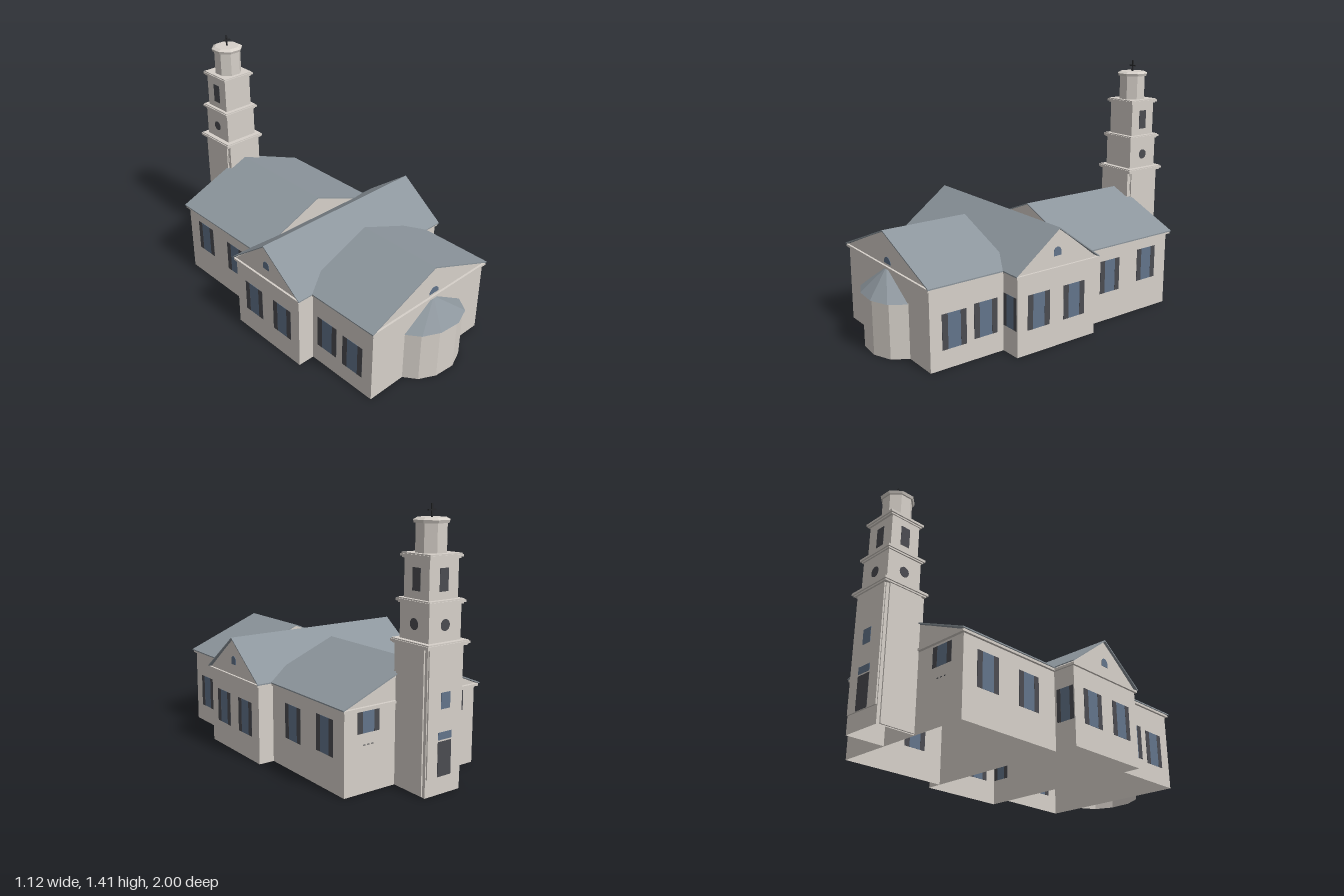
import * as THREE from 'three';
import { ConvexGeometry } from 'three/addons/geometries/ConvexGeometry.js';

const mat = (name, color) => Object.assign(new THREE.MeshStandardMaterial({ color, flatShading: true }), { name });

export function createModel() {
  const wall = mat('stone wall', 0xd6d0c9);
  wall.side = THREE.DoubleSide; // walls are hollow and open below
  const slate = mat('slate roof', 0x8d969d);
  const glass = mat('window glass', 0x62748a);
  const dark = mat('dark shutter', 0x4b4c51);
  const iron = mat('black iron', 0x26272a);

  const model = new THREE.Group();
  model.name = 'church';

  const add = (parent, name, geo, material, x = 0, y = 0, z = 0) => {
    const m = new THREE.Mesh(geo, material);
    m.name = name;
    m.position.set(x, y, z);
    parent.add(m);
    return m;
  };
  // Box given by its limits
  const block = (parent, name, material, x0, x1, y0, y1, z0, z1) =>
    add(parent, name, new THREE.BoxGeometry(x1 - x0, y1 - y0, z1 - z0), material,
      (x0 + x1) / 2, (y0 + y1) / 2, (z0 + z1) / 2);
  const group = (name, parent = model) => {
    const g = new THREE.Group();
    g.name = name;
    parent.add(g);
    return g;
  };
  const extrude = (pts, depth) => new THREE.ExtrudeGeometry(
    new THREE.Shape(pts.map(p => new THREE.Vector2(...p))), { depth, bevelEnabled: false });

  // Upright walls over a closed plan of [x, z] corners, without floor or ceiling
  function hollowWalls(plan, height) {
    const pos = [];
    plan.forEach(([ax, az], i) => {
      const [bx, bz] = plan[(i + 1) % plan.length];
      pos.push(ax, 0, az, bx, 0, bz, bx, height, bz, ax, 0, az, bx, height, bz, ax, height, az);
    });
    const geo = new THREE.BufferGeometry();
    geo.setAttribute('position', new THREE.Float32BufferAttribute(pos, 3));
    geo.computeVertexNormals();
    return geo;
  }
  const rectangle = (x0, x1, z0, z1) => [[x0, z1], [x1, z1], [x1, z0], [x0, z0]];

  // Gabled wing along its own z axis: walls w0..w1, gables g0..g1, roof r0..r1
  const EAVE = 0.445;
  function wing(name, { hw, roofHw, ridge, w0, w1, g0, g1, r0, r1 }) {
    const g = group(name);
    add(g, 'walls', hollowWalls(rectangle(-hw, hw, w0, w1), 0.435), wall);
    block(g, 'cornice', wall, -roofHw + 0.006, roofHw - 0.006, 0.432, EAVE, r0 + 0.003, r1 - 0.003);
    add(g, 'gable', extrude([[-roofHw + 0.01, EAVE], [roofHw - 0.01, EAVE], [0, ridge - 0.004]], g1 - g0),
      wall, 0, 0, g0);
    const t = 0.007;
    add(g, 'roof', extrude([[-roofHw, EAVE], [-roofHw, EAVE + t], [0, ridge], [roofHw, EAVE + t],
      [roofHw, EAVE], [0, ridge - t]], r1 - r0), slate, 0, 0, r0);
    return g;
  }
  wing('frontNave', {
    hw: 0.435, roofHw: 0.455, ridge: 0.637, w0: 0.417, w1: 0.86, g0: 0.368, g1: 0.86, r0: 0.365, r1: 0.875,
  }).position.x = -0.01;
  wing('backNave', {
    hw: 0.435, roofHw: 0.455, ridge: 0.637, w0: -0.75, w1: -0.107, g0: -0.75, g1: -0.048, r0: -0.77, r1: -0.045,
  }).position.x = 0.02;
  const transept = wing('transept', {
    hw: 0.262, roofHw: 0.279, ridge: 0.66, w0: -0.545, w1: 0.545, g0: -0.545, g1: 0.545, r0: -0.56, r1: 0.56,
  });
  transept.rotation.y = Math.PI / 2;
  transept.position.z = 0.155;

  // Flush pane with a shutter on each side, facing its own +z
  function shutteredWindow(x, y, z, turn, h = 0.192, w = 0.076, s = 0.034) {
    const g = group('shutteredWindow');
    g.position.set(x, y, z);
    g.rotation.y = turn;
    add(g, 'pane', new THREE.BoxGeometry(w, h, 0.003), glass);
    for (const side of [-1, 1])
      add(g, 'shutter', new THREE.BoxGeometry(s, h, 0.004), dark, side * (w + s) / 2);
  }
  const sideWindows = [
    [0.718, 0.2, 0.425, -0.445], [0.528, 0.21, 0.425, -0.445],
    [0.278, 0.232, 0.545, -0.545], [0.04, 0.232, 0.545, -0.545],
    [-0.303, 0.265, 0.455, -0.415], [-0.588, 0.28, 0.455, -0.415]];
  for (const [z, y, xr, xl] of sideWindows) {
    shutteredWindow(xr, y, z, Math.PI / 2);
    shutteredWindow(xl, y, z, -Math.PI / 2);
  }
  shutteredWindow(0.484, 0.236, 0.417, 0, 0.18, 0.06, 0.025);
  shutteredWindow(-0.484, 0.236, -0.107, Math.PI, 0.18, 0.06, 0.025);
  for (const x of [-0.267, 0.307]) {
    shutteredWindow(x, 0.365, -0.75, Math.PI, 0.11, 0.07, 0.032);
    for (const dx of [-0.025, 0, 0.025])
      block(model, 'ventSlot', dark, x + dx - 0.005, x + dx + 0.005, 0.247, 0.252, -0.752, -0.749);
  }

  // Arched gable lights
  function archPane(x, y, z, turn, r, straight) {
    const s = new THREE.Shape();
    s.moveTo(-r, 0);
    s.lineTo(r, 0);
    s.lineTo(r, straight);
    s.absarc(0, straight, r, 0, Math.PI, false);
    const geo = new THREE.ExtrudeGeometry(s, { depth: 0.004, bevelEnabled: false, curveSegments: 10 });
    add(model, 'archedGableLight', geo, glass, x, y, z).rotation.y = turn;
  }
  archPane(0.01, 0.457, 0.858, 0, 0.037, 0);
  archPane(0.543, 0.505, 0.157, Math.PI / 2, 0.024, 0.024);
  archPane(-0.543, 0.505, 0.157, -Math.PI / 2, 0.024, 0.024);

  // Faceted apse with a half-cone roof
  const apse = group('apse');
  const plan = [[-0.206, 0.857], [-0.152, 0.93], [-0.06, 0.977], [0.065, 0.987], [0.168, 0.945], [0.222, 0.857]];
  add(apse, 'apseWall', hollowWalls(plan, 0.305), wall);
  const rim = plan.map(([x, z]) => new THREE.Vector3(0.008 + (x - 0.008) * 1.04, 0.304, z + 0.01));
  add(apse, 'apseRoof', new ConvexGeometry([...rim, new THREE.Vector3(0.005, 0.44, 0.865)]), slate);

  // Stepped bell tower
  const tower = group('tower');
  const TX = 0.022, TZ = -0.865;
  const tier = (name, hx, hz, y0, y1) =>
    block(tower, name, wall, TX - hx, TX + hx, y0, y1, TZ - hz, TZ + hz);
  add(tower, 'towerBase', hollowWalls(rectangle(TX - 0.115, TX + 0.115, TZ - 0.112, TZ + 0.112), 0.74), wall);
  // Raised panels on the base
  for (const side of [-1, 1])
    add(tower, 'sidePanel', new THREE.BoxGeometry(0.008, 0.735, 0.2), wall, TX + side * 0.119, 0.3725, TZ + 0.006);
  block(tower, 'backPanel', wall, TX - 0.11, TX + 0.11, 0.095, 0.74, TZ - 0.12, TZ - 0.11);
  block(tower, 'frontPanel', wall, TX - 0.113, TX + 0.113, 0.59, 0.74, TZ + 0.11, TZ + 0.13);
  tier('middleTier', 0.104, 0.104, 0.76, 0.95);
  tier('belfryTier', 0.094, 0.089, 0.96, 1.165);
  for (const [h, y] of [[0.138, 0.738], [0.12, 0.939], [0.108, 1.157]]) {
    tier('corniceLower', h - 0.008, h - 0.008, y, y + 0.008);
    tier('corniceUpper', h, h, y + 0.008, y + 0.02);
    tier('corniceTop', h - 0.006, h - 0.006, y + 0.02, y + 0.026);
  }
  const octagon = (name, rTop, rBottom, y0, y1) =>
    add(tower, name, new THREE.CylinderGeometry(rTop, rBottom, y1 - y0, 8, 1, false, Math.PI / 8), wall,
      TX, (y0 + y1) / 2, TZ + 0.005);
  octagon('lantern', 0.081, 0.081, 1.18, 1.328);
  octagon('lanternCornice', 0.095, 0.09, 1.324, 1.339);
  octagon('lanternCap', 0.074, 0.095, 1.339, 1.35);

  // Openings on the two sides and the back of the tower
  for (const [turn, nx, nz] of [[Math.PI / 2, 1, 0], [-Math.PI / 2, -1, 0], [Math.PI, 0, -1]]) {
    const disc = new THREE.CylinderGeometry(0.029, 0.029, 0.003, 20).rotateX(Math.PI / 2);
    add(tower, 'roundOpening', disc, dark, TX + nx * 0.104, 0.845, TZ + nz * 0.104).rotation.y = turn;
    add(tower, 'belfryOpening', new THREE.BoxGeometry(0.056, 0.112, 0.003), dark,
      TX + nx * 0.094, 1.06, TZ + nz * 0.089).rotation.y = turn;
  }
  const back = TZ - 0.12;
  const facade = (name, material, hw, y0, y1) =>
    block(tower, name, material, TX - hw, TX + hw, y0, y1, back - 0.002, back + 0.002);
  facade('door', dark, 0.044, 0.097, 0.275);
  facade('transomLight', glass, 0.044, 0.284, 0.322);
  facade('towerWindow', glass, 0.03, 0.438, 0.52);

  // Rooftop cross
  const cross = group('cross');
  block(cross, 'crossPost', iron, TX - 0.004, TX + 0.004, 1.345, 1.415, TZ + 0.001, TZ + 0.009);
  block(cross, 'crossArm', iron, TX - 0.025, TX + 0.025, 1.38, 1.388, TZ + 0.001, TZ + 0.009);

  return model;
}
